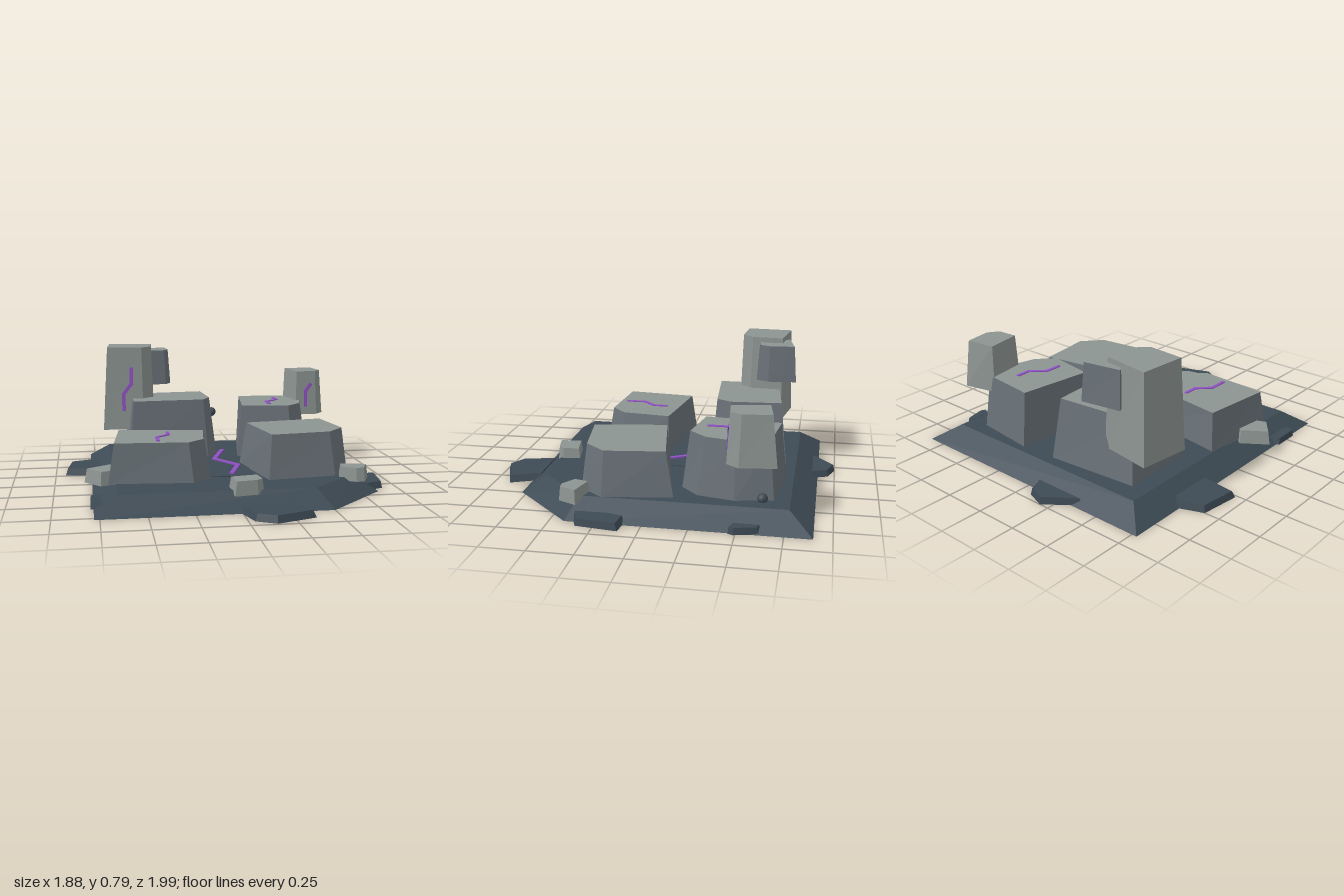
import * as THREE from 'three';

const mat = (name, color) => {
  const m = new THREE.MeshStandardMaterial({ color });
  m.name = name;
  return m;
};

// Faceted block between a bottom and a top outline of [x, z] corners; group 0 = sides, group 1 = caps
function frustum(bottom, top, y0, y1) {
  let area = 0;
  bottom.forEach(([x, z], i) => {
    const [x2, z2] = bottom[(i + 1) % bottom.length];
    area += x * z2 - x2 * z;
  });
  if (area > 0) {
    bottom = [...bottom].reverse();
    top = [...top].reverse();
  }
  const b = bottom.map(([x, z]) => [x, y0, z]);
  const t = top.map(([x, z]) => [x, y1, z]);
  const pos = [];
  const tri = (...pts) => pts.forEach((p) => pos.push(...p));
  const n = b.length;
  for (let i = 0; i < n; i++) {
    const j = (i + 1) % n;
    tri(b[i], b[j], t[j]);
    tri(b[i], t[j], t[i]);
  }
  for (let i = 1; i < n - 1; i++) {
    tri(t[0], t[i], t[i + 1]);
    tri(b[0], b[i + 1], b[i]);
  }
  const g = new THREE.BufferGeometry();
  g.setAttribute('position', new THREE.Float32BufferAttribute(pos, 3));
  g.addGroup(0, n * 6, 0);
  g.addGroup(n * 6, (n - 2) * 6, 1);
  g.computeVertexNormals();
  return g;
}

// Shrink an outline towards its middle
function inset(outline, s) {
  const cx = outline.reduce((a, p) => a + p[0], 0) / outline.length;
  const cz = outline.reduce((a, p) => a + p[1], 0) / outline.length;
  return outline.map(([x, z]) => [cx + (x - cx) * s, cz + (z - cz) * s]);
}

// Thin zigzag strip in the local XY plane
function crack(name, points, width, material) {
  const group = new THREE.Group();
  group.name = name;
  for (let i = 0; i < points.length - 1; i++) {
    const [x1, y1] = points[i], [x2, y2] = points[i + 1];
    const len = Math.hypot(x2 - x1, y2 - y1);
    const seg = new THREE.Mesh(new THREE.BoxGeometry(len + width * 0.4, width, 0.009), material);
    seg.name = name + 'Segment';
    seg.position.set((x1 + x2) / 2, (y1 + y2) / 2, 0);
    seg.rotation.z = Math.atan2(y2 - y1, x2 - x1);
    group.add(seg);
  }
  return group;
}

export function createModel() {
  const model = new THREE.Group();
  model.name = 'brokenStonePlatform';
  const slate = mat('darkSlate', 0x3d4a54);
  const stone = mat('stoneSide', 0x697177);
  const pale = mat('paleStone', 0x8c9491);
  const violet = mat('violetGlow', 0x9050c4);

  const add = (name, bottom, top, y0, y1, side, cap = side) => {
    const mesh = new THREE.Mesh(frustum(bottom, top, y0, y1), [side, cap]);
    mesh.name = name;
    model.add(mesh);
  };

  // Sloped base with one cut corner, and the sheet along its middle
  add('base',
    [[-0.78, -0.9], [0.86, -0.9], [0.86, 0.42], [0.5, 0.78], [-0.78, 0.78]],
    [[-0.65, -0.77], [0.72, -0.77], [0.72, 0.37], [0.43, 0.65], [-0.65, 0.65]], 0, 0.095, slate);
  const strip = [[0.04, -0.46], [0.18, -0.44], [0.14, 0.345], [-0.105, 0.32]];
  add('middlePlate', strip, strip, 0.093, 0.1, slate);

  // Four large blocks with pale tops
  add('backRightBlock',
    [[-0.54, -0.21], [-0.04, -0.25], [0.025, -0.35], [0, -0.71], [-0.55, -0.66]],
    [[-0.51, -0.25], [-0.07, -0.28], [-0.02, -0.37], [-0.04, -0.67], [-0.51, -0.62]], 0.09, 0.46, stone, pale);
  add('backLeftBlock',
    [[0.14, -0.22], [0.49, -0.16], [0.6, -0.26], [0.645, -0.47], [0.6, -0.68], [0.22, -0.725]],
    [[0.175, -0.25], [0.465, -0.2], [0.56, -0.3], [0.6, -0.46], [0.57, -0.65], [0.23, -0.69]], 0.09, 0.42, stone, pale);
  add('frontRightBlock',
    [[-0.695, 0.4], [-0.22, 0.445], [-0.11, 0.345], [-0.08, 0.02], [-0.64, -0.07]],
    [[-0.66, 0.38], [-0.245, 0.41], [-0.15, 0.32], [-0.115, 0.03], [-0.615, -0.04]], 0.09, 0.32, stone, pale);
  add('frontLeftBlock',
    [[0.12, -0.03], [0.21, 0.44], [0.61, 0.39], [0.72, 0.25], [0.66, -0.14]],
    [[0.16, -0.015], [0.23, 0.41], [0.58, 0.36], [0.685, 0.24], [0.64, -0.095]], 0.09, 0.35, stone, pale);

  // Raised chunks on the back blocks
  add('tallChunk',
    [[-0.695, -0.4], [-0.44, -0.38], [-0.365, -0.445], [-0.35, -0.65], [-0.66, -0.7]],
    [[-0.665, -0.41], [-0.45, -0.395], [-0.385, -0.46], [-0.37, -0.645], [-0.645, -0.685]], 0.26, 0.785, pale);
  add('hangingChunk',
    [[-0.5, -0.7], [-0.265, -0.74], [-0.25, -0.57], [-0.285, -0.5], [-0.385, -0.49]],
    [[-0.49, -0.685], [-0.275, -0.725], [-0.265, -0.575], [-0.295, -0.515], [-0.38, -0.505]], 0.535, 0.755, stone, pale);
  add('sideChunk',
    [[0.53, -0.655], [0.735, -0.7], [0.765, -0.5], [0.71, -0.43], [0.565, -0.42]],
    [[0.54, -0.645], [0.72, -0.67], [0.745, -0.51], [0.7, -0.445], [0.575, -0.435]], 0.325, 0.61, pale);

  // Small loose rocks
  const rocks = {
    rightRock: [[-0.825, 0.25], [-0.68, 0.15], [-0.6, 0.2], [-0.65, 0.33], [-0.735, 0.365]],
    frontRock: [[-0.045, 0.565], [0.125, 0.535], [0.14, 0.64], [0.1, 0.68], [-0.03, 0.705]],
    leftRock: [[0.645, 0.33], [0.81, 0.37], [0.76, 0.475], [0.71, 0.48], [0.62, 0.42]],
  };
  for (const [name, o] of Object.entries(rocks)) add(name, o, inset(o, 0.88), 0.075, 0.155, pale);

  // Flat slabs around the edge
  const slabs = {
    backSlab: [[-0.375, -0.86], [-0.19, -1], [-0.08, -0.96], [-0.04, -0.86]],
    rightSlab: [[-0.94, -0.265], [-0.91, -0.5], [-0.77, -0.555], [-0.71, -0.52], [-0.72, -0.24]],
    rightFrontSlab: [[-0.795, 0.41], [-0.73, 0.395], [-0.735, 0.59], [-0.795, 0.57]],
    leftBackSlab: [[0.81, -0.63], [0.85, -0.62], [0.88, -0.49], [0.865, -0.46], [0.81, -0.48]],
    leftFrontSlab: [[0.82, 0.095], [0.94, 0.11], [0.91, 0.345], [0.8, 0.39], [0.78, 0.25]],
    frontSlab: [[-0.02, 0.725], [0.285, 0.725], [0.365, 0.905], [0.14, 0.99], [0.035, 0.93]],
  };
  for (const [name, o] of Object.entries(slabs)) add(name, o, inset(o, 0.9), 0, 0.04, slate);

  // Dark pebbles set into the back blocks
  for (const [x, y, z] of [[0.62, 0.11, -0.62], [0, 0.36, -0.41]]) {
    const pebble = new THREE.Mesh(new THREE.IcosahedronGeometry(0.03, 1), slate);
    pebble.name = 'pebble';
    pebble.position.set(x, y, z);
    model.add(pebble);
  }

  // Glowing cracks lying flat: points are [x, z]
  const flat = (name, y, width, pts) => {
    const c = crack(name, pts.map(([x, z]) => [x, -z]), width, violet);
    c.rotation.x = -Math.PI / 2;
    c.position.y = y;
    model.add(c);
  };
  flat('middleCrack', 0.106, 0.026, [[0.07, -0.4], [-0.02, -0.13], [0.095, 0.065], [0.02, 0.285]]);
  flat('backLeftCrack', 0.421, 0.02, [[0.44, -0.545], [0.44, -0.46], [0.36, -0.385], [0.36, -0.285]]);
  flat('frontRightCrack', 0.321, 0.02, [[-0.335, 0.08], [-0.335, 0.165], [-0.41, 0.24], [-0.41, 0.355]]);

  // Glowing cracks on the fronts of the raised chunks
  const tall = crack('tallChunkCrack', [[0.025, 0.135], [0.025, 0.035], [-0.025, -0.03], [-0.025, -0.135]], 0.022, violet);
  tall.position.set(-0.54, 0.52, -0.394);
  tall.rotation.set(-0.03, -0.08, 0);
  const side = crack('sideChunkCrack', [[0.02, 0.075], [-0.015, 0.03], [-0.015, -0.07]], 0.022, violet);
  side.position.set(0.65, 0.45, -0.431);
  side.rotation.set(-0.05, 0.07, 0);
  model.add(tall, side);

  return model;
}
